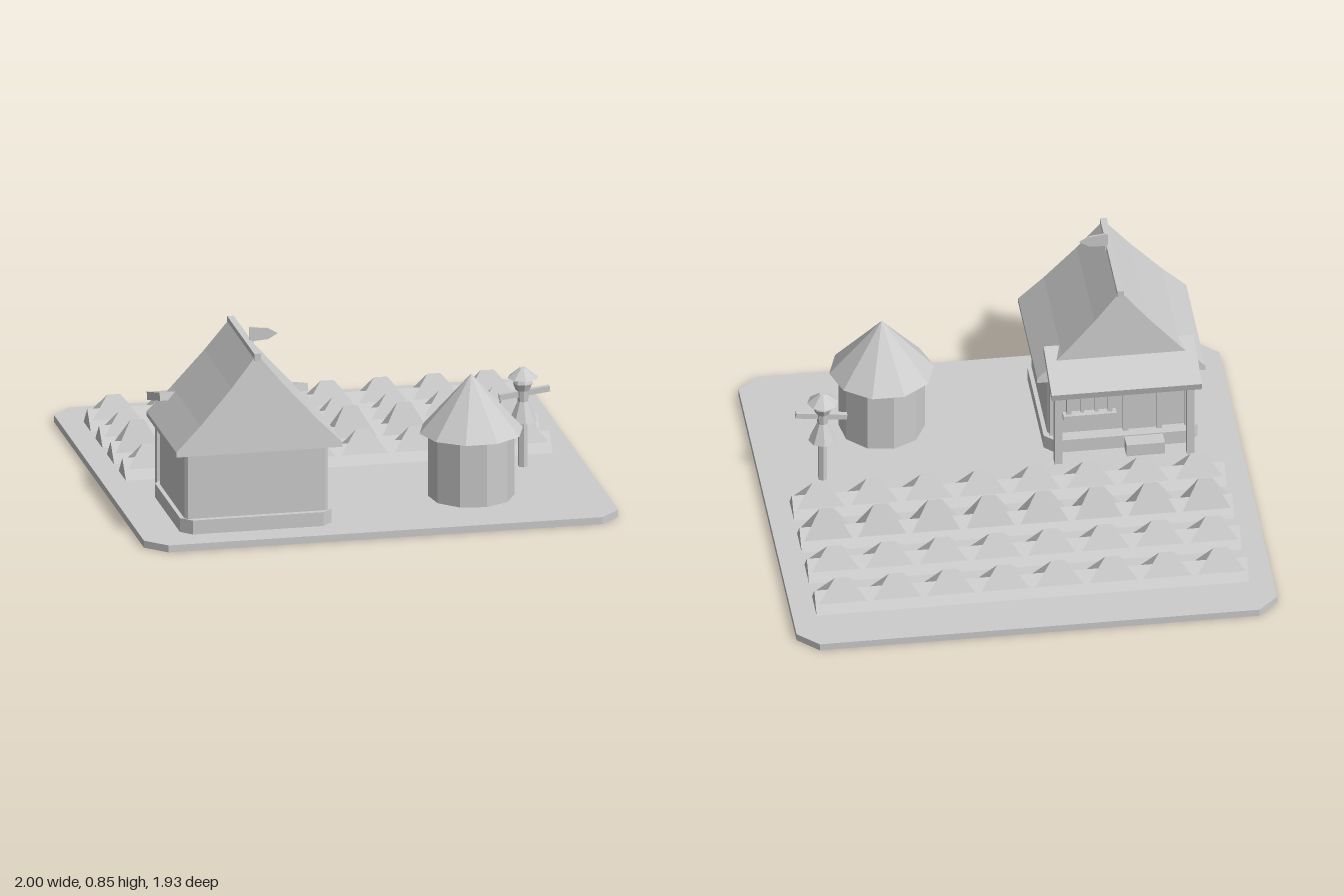
import * as THREE from 'three';

const stone = new THREE.MeshStandardMaterial({ color: 0xcccccc });
stone.name = 'plain grey';

// faceted normals on every part
function flat(geo) {
  const g = geo.index ? geo.toNonIndexed() : geo;
  g.computeVertexNormals();
  return g;
}

function add(parent, name, geo, x = 0, y = 0, z = 0) {
  const mesh = new THREE.Mesh(flat(geo), stone);
  mesh.name = name;
  mesh.position.set(x, y, z);
  parent.add(mesh);
  return mesh;
}

const box = (w, h, d) => new THREE.BoxGeometry(w, h, d);

function shapeOf(points) {
  return new THREE.Shape(points.map(([x, y]) => new THREE.Vector2(x, y)));
}

function extrude(points, depth) {
  return new THREE.ExtrudeGeometry(shapeOf(points), { depth, bevelEnabled: false });
}

// upright slab with cut corners, standing on y = 0
function slab(w, d, h, c) {
  const x = w / 2, z = d / 2;
  return extrude([[-x + c, -z], [x - c, -z], [x, -z + c], [x, z - c],
    [x - c, z], [-x + c, z], [-x, z - c], [-x, -z + c]], h).rotateX(-Math.PI / 2);
}

// leafy crop: a tent with notched ends
function cropGeometry(h) {
  const A = [-0.1, 0, 0.05], B = [0.1, 0, 0.05], C = [0.1, 0, -0.05], D = [-0.1, 0, -0.05];
  const R1 = [-0.028, h, 0], R2 = [0.028, h, 0], N1 = [-0.06, 0.02, 0], N2 = [0.06, 0.02, 0];
  const faces = [A, B, R2, A, R2, R1, C, D, R1, C, R1, R2,
    B, N2, R2, N2, C, R2, N1, A, R1, D, N1, R1,
    A, N1, N2, A, N2, B, D, C, N2, D, N2, N1];
  const g = new THREE.BufferGeometry();
  g.setAttribute('position', new THREE.Float32BufferAttribute(faces.flat(), 3));
  return g;
}

function makeField() {
  const field = new THREE.Group();
  field.name = 'field';
  [-0.69, -0.46, -0.235, -0.005].forEach((z, row) => {
    const ridge = extrude([[-0.07, 0], [0.07, 0], [0, 0.077]], 1.8).rotateY(Math.PI / 2);
    add(field, 'soilRidge', ridge, -0.9, 0.03, z);
    const crop = cropGeometry(row === 2 ? 0.125 : 0.092);
    for (let i = 0; i < 8; i++) add(field, 'crop', crop, -0.788 + i * 0.225, 0.071, z);
  });
  return field;
}

function makeHouse() {
  const house = new THREE.Group();
  house.name = 'house';
  const cx = -0.51;
  add(house, 'plinth', slab(0.64, 0.58, 0.06, 0.045), cx, 0.03, 0.55);
  add(house, 'walls', slab(0.605, 0.5, 0.32, 0.012), cx, 0.07, 0.565);

  // flared roof, its gable ends leaning inwards
  const half = [[0.35, 0.375], [0.35, 0.395], [0.245, 0.5], [0.11, 0.65]];
  const mirrored = half.map(([x, y]) => [-x, y]).reverse();
  const roof = extrude([...half, [0, 0.785], ...mirrored], 1);
  const p = roof.attributes.position;
  for (let i = 0; i < p.count; i++) {
    const t = (p.getY(i) - 0.375) / 0.41;
    p.setZ(i, p.getZ(i) < 0.5 ? 0.28 + 0.025 * t : 0.865 - 0.045 * t);
  }
  add(house, 'roof', roof, cx, 0, 0);
  add(house, 'ridgeBeam', box(0.028, 0.03, 0.53), cx, 0.775, 0.565);

  // flag on the ridge
  add(house, 'flagPole', box(0.014, 0.085, 0.014), -0.495, 0.803, 0.64);
  add(house, 'flag', extrude([[0, 0], [0.07, 0.005], [0.11, 0.028], [0.07, 0.052], [0, 0.06]], 0.008),
    -0.495, 0.785, 0.636);

  // porch along the back
  const porch = new THREE.Group();
  porch.name = 'porch';
  house.add(porch);
  add(porch, 'porchRoof', box(0.625, 0.034, 0.262), cx, 0.445, 0.242).rotation.x = -0.285;
  for (const s of [-1, 1]) {
    add(porch, 'porchPost', box(0.032, 0.37, 0.032), cx + s * 0.275, 0.215, 0.195);
    add(porch, 'porchBeam', box(0.025, 0.03, 0.15), cx + s * 0.275, 0.385, 0.25);
    add(porch, 'wallPost', box(0.03, 0.33, 0.03), cx + s * 0.28, 0.215, 0.315);
  }
  add(porch, 'frontBeam', box(0.58, 0.025, 0.03), cx, 0.395, 0.195);
  add(porch, 'step', box(0.16, 0.055, 0.08), cx - 0.09, 0.0575, 0.235);

  // door and window on the back wall
  add(house, 'door', box(0.12, 0.24, 0.012), cx - 0.09, 0.21, 0.312);
  for (const s of [-1, 1]) {
    add(house, 'doorJamb', box(0.022, 0.27, 0.03), cx - 0.09 + s * 0.07, 0.225, 0.308);
    add(house, 'windowJamb', box(0.02, 0.15, 0.03), cx + 0.13 + s * 0.085, 0.26, 0.308);
    add(house, 'windowBar', box(0.014, 0.15, 0.02), cx + 0.13 + s * 0.03, 0.26, 0.31);
  }
  add(house, 'doorLintel', box(0.18, 0.022, 0.03), cx - 0.09, 0.35, 0.308);
  add(house, 'windowLintel', box(0.21, 0.02, 0.03), cx + 0.13, 0.34, 0.308);
  add(house, 'windowSill', box(0.22, 0.028, 0.045), cx + 0.13, 0.18, 0.302);
  return house;
}

function makeStore() {
  const store = new THREE.Group();
  store.name = 'grainStore';
  store.position.set(0.45, 0, 0.555);
  add(store, 'storeWall', new THREE.CylinderGeometry(0.178, 0.178, 0.28, 10), 0, 0.17, 0)
    .rotation.y = Math.PI / 20;
  add(store, 'storeRoof', new THREE.ConeGeometry(0.218, 0.245, 10), 0, 0.4325, 0)
    .rotation.y = Math.PI / 10;
  return store;
}

function makeScarecrow() {
  const crow = new THREE.Group();
  crow.name = 'scarecrow';
  crow.position.set(0.742, 0, 0.212);
  add(crow, 'pole', new THREE.CylinderGeometry(0.02, 0.02, 0.33, 6), 0, 0.195, 0);
  add(crow, 'coat', new THREE.CylinderGeometry(0.022, 0.06, 0.085, 8), 0, 0.27, 0);
  add(crow, 'chest', new THREE.CylinderGeometry(0.026, 0.022, 0.055, 8), 0, 0.335, 0);
  add(crow, 'arms', box(0.214, 0.024, 0.022), 0.006, 0.347, 0).rotation.z = 0.12;
  add(crow, 'head', new THREE.SphereGeometry(0.042, 8, 4), 0, 0.39, 0);
  add(crow, 'hat', new THREE.CylinderGeometry(0.014, 0.065, 0.042, 8), 0, 0.434, 0);
  return crow;
}

export function createModel() {
  const model = new THREE.Group();
  model.name = 'farm';
  add(model, 'ground', slab(2, 1.93, 0.03, 0.085));
  model.add(makeField(), makeHouse(), makeStore(), makeScarecrow());
  return model;
}
